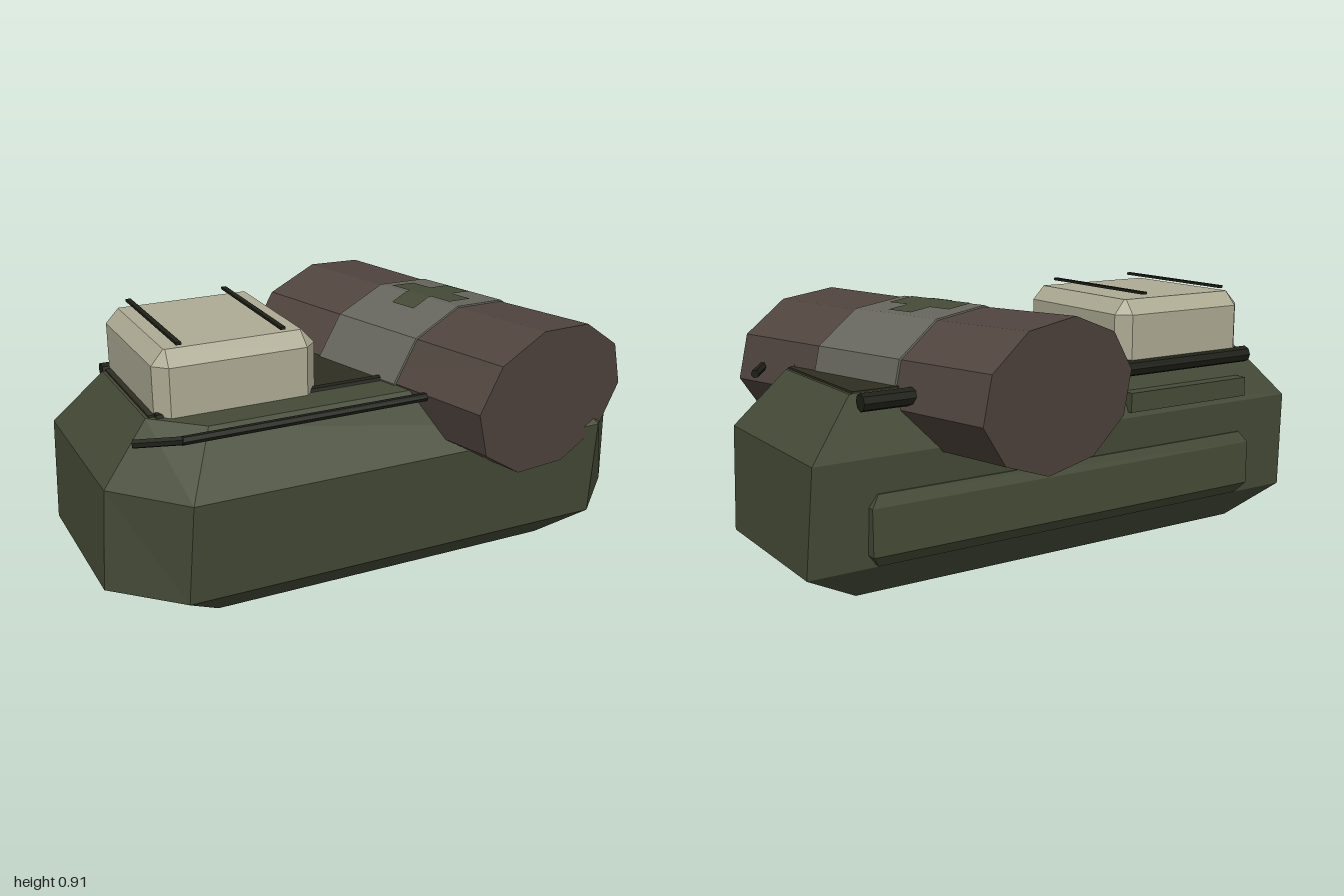
import * as THREE from 'three';

const paint = (name, color) => {
  const m = new THREE.MeshStandardMaterial({ color });
  m.name = name;
  return m;
};

// Closed solid from stacked rings; each ring is [y, [[x, z], ...]]
function loft(rings) {
  const pos = [];
  const tri = (...pts) => pts.forEach((p) => pos.push(...p));
  const R = rings.map(([y, pts]) => pts.map(([x, z]) => [x, y, z]));
  const n = R[0].length;
  for (let r = 0; r < R.length - 1; r++) {
    for (let i = 0; i < n; i++) {
      const j = (i + 1) % n;
      tri(R[r][i], R[r + 1][i], R[r + 1][j]);
      tri(R[r][i], R[r + 1][j], R[r][j]);
    }
  }
  const top = R[R.length - 1];
  for (let i = 1; i < n - 1; i++) {
    tri(R[0][0], R[0][i], R[0][i + 1]);
    tri(top[0], top[i + 1], top[i]);
  }
  const g = new THREE.BufferGeometry();
  g.setAttribute('position', new THREE.Float32BufferAttribute(pos, 3));
  g.computeVertexNormals();
  return g;
}

// Hull outline: square at the back, chamfered at the front corners
const hullRing = (y, w, back, side, wf, front) =>
  [y, [[w, back], [w, side], [wf, front], [-wf, front], [-w, side], [-w, back]]];

const rectRing = (y, x0, x1, z0, z1) => [y, [[x1, z0], [x1, z1], [x0, z1], [x0, z0]]];

// Rectangle with cut corners
const cutRing = (y, x0, x1, z0, z1, c) => [y, [
  [x1 - c, z0], [x1, z0 + c], [x1, z1 - c], [x1 - c, z1],
  [x0 + c, z1], [x0, z1 - c], [x0, z0 + c], [x0 + c, z0],
]];

// Ten-sided oval roll lying along z
const RX = 0.38, RY = 0.255, SIDES = 10, START = THREE.MathUtils.degToRad(10);
function ovalLathe(profile) {
  const pts = profile.map(([r, y]) => new THREE.Vector2(r, y));
  const g = new THREE.LatheGeometry(pts, SIDES, START).toNonIndexed();
  g.rotateX(Math.PI / 2);
  g.scale(RX, RY, 1);
  g.computeVertexNormals();
  return g;
}

// Height of the faceted roll surface above its axis at a given x
function rollHeight(x) {
  const corner = (deg) => {
    const a = THREE.MathUtils.degToRad(deg);
    return [RX * Math.cos(a), RY * Math.sin(a)];
  };
  const [p, q] = x < corner(100)[0] ? [corner(136), corner(100)] : [corner(100), corner(64)];
  return p[1] + ((x - p[0]) / (q[0] - p[0])) * (q[1] - p[1]);
}

export function createModel() {
  const model = new THREE.Group();
  model.name = 'fieldPack';
  const olive = paint('olive', 0x454b37);
  const brown = paint('brown', 0x50443e);
  const grey = paint('grey', 0x66665e);
  const cream = paint('cream', 0xaeab94);
  const black = paint('black', 0x1f2018);
  const deckDark = paint('darkOlive', 0x2f2e22);
  [olive, brown, grey, cream, black, deckDark].forEach((m) => { m.flatShading = true; });

  const add = (name, geometry, material, parent = model) => {
    const mesh = new THREE.Mesh(geometry, material);
    mesh.name = name;
    parent.add(mesh);
    return mesh;
  };
  const box = (name, w, h, d, x, y, z, material) =>
    add(name, new THREE.BoxGeometry(w, h, d), material).position.set(x, y, z);

  // Main body
  add('hull', loft([
    hullRing(0, 0.8, -0.28, 0.18, 0.64, 0.34),
    hullRing(0.115, 1, -0.36, 0.25, 0.78, 0.465),
    hullRing(0.48, 0.98, -0.385, 0.27, 0.765, 0.51),
    hullRing(0.67, 0.81, -0.3, 0.2, 0.65, 0.35),
  ]), olive);
  add('backPanel', loft([
    rectRing(0.12, -0.76, 0.76, -0.372, -0.34),
    rectRing(0.16, -0.79, 0.79, -0.4, -0.34),
    rectRing(0.32, -0.79, 0.79, -0.4, -0.34),
    rectRing(0.36, -0.76, 0.76, -0.382, -0.34),
  ]), olive);
  box('backLedge', 0.54, 0.07, 0.06, -0.5, 0.535, -0.365, olive);

  // Deck and its rails
  box('deck', 1.6, 0.02, 0.5, 0, 0.667, -0.05, deckDark);
  const bar = (name, r, len, y, z) => {
    const m = add(name, new THREE.CylinderGeometry(r, r, len, 8), black);
    m.rotation.z = Math.PI / 2;
    m.position.set(0, y, z);
  };
  bar('backRail', 0.03, 1.6, 0.652, -0.355);
  bar('frontDeckRail', 0.018, 1.56, 0.668, 0.205);

  // Front handrail with bent ends, made of straight runs
  const rail = [[-0.89, 0.65, 0.34], [-0.76, 0.667, 0.42], [0.78, 0.667, 0.42], [0.89, 0.65, 0.28]]
    .map((p) => new THREE.Vector3(...p));
  const path = new THREE.CurvePath();
  for (let i = 0; i < 3; i++) {
    path.add(new THREE.LineCurve3(rail[i], rail[i + 1]));
  }
  path.curves.forEach((c) => {
    const len = c.getLength();
    const m = add('handrail', new THREE.CylinderGeometry(0.015, 0.015, len + 0.01, 6), black);
    m.position.copy(c.getPoint(0.5));
    m.quaternion.setFromUnitVectors(new THREE.Vector3(0, 1, 0), c.getTangent(0));
  });

  // Storage case and its straps
  add('case', loft([
    cutRing(0.65, -0.78, -0.21, -0.36, 0.24, 0.045),
    cutRing(0.84, -0.78, -0.21, -0.36, 0.24, 0.045),
    cutRing(0.89, -0.735, -0.255, -0.315, 0.195, 0.005),
  ]), cream);
  for (const x of [-0.69, -0.33]) box('caseStrap', 0.018, 0.009, 0.545, x, 0.909, -0.058, black);

  // Bedroll lying across the deck
  const roll = new THREE.Group();
  roll.name = 'bedroll';
  roll.position.set(0.357, 0.64, -0.005);
  roll.rotation.y = THREE.MathUtils.degToRad(16);
  model.add(roll);
  add('rollBody', ovalLathe([[0, -0.59], [1, -0.59], [0.97, 0], [1, 0.59], [0, 0.59]]), brown, roll);
  add('rollBand', ovalLathe([[0.95, -0.2], [1, -0.195], [1, 0.195], [0.95, 0.2]]), grey, roll);

  // Painted cross folded over the top facets
  const patch = (w, d, z) => {
    const g = new THREE.PlaneGeometry(w, d, 20, 1).rotateX(-Math.PI / 2);
    const p = g.attributes.position;
    for (let i = 0; i < p.count; i++) p.setY(i, rollHeight(p.getX(i)) + 0.005);
    g.computeVertexNormals();
    add('cross', g, olive, roll).position.z = z;
  };
  patch(0.29, 0.11, 0);
  patch(0.11, 0.09, 0.1);
  patch(0.11, 0.09, -0.1);

  return model;
}
